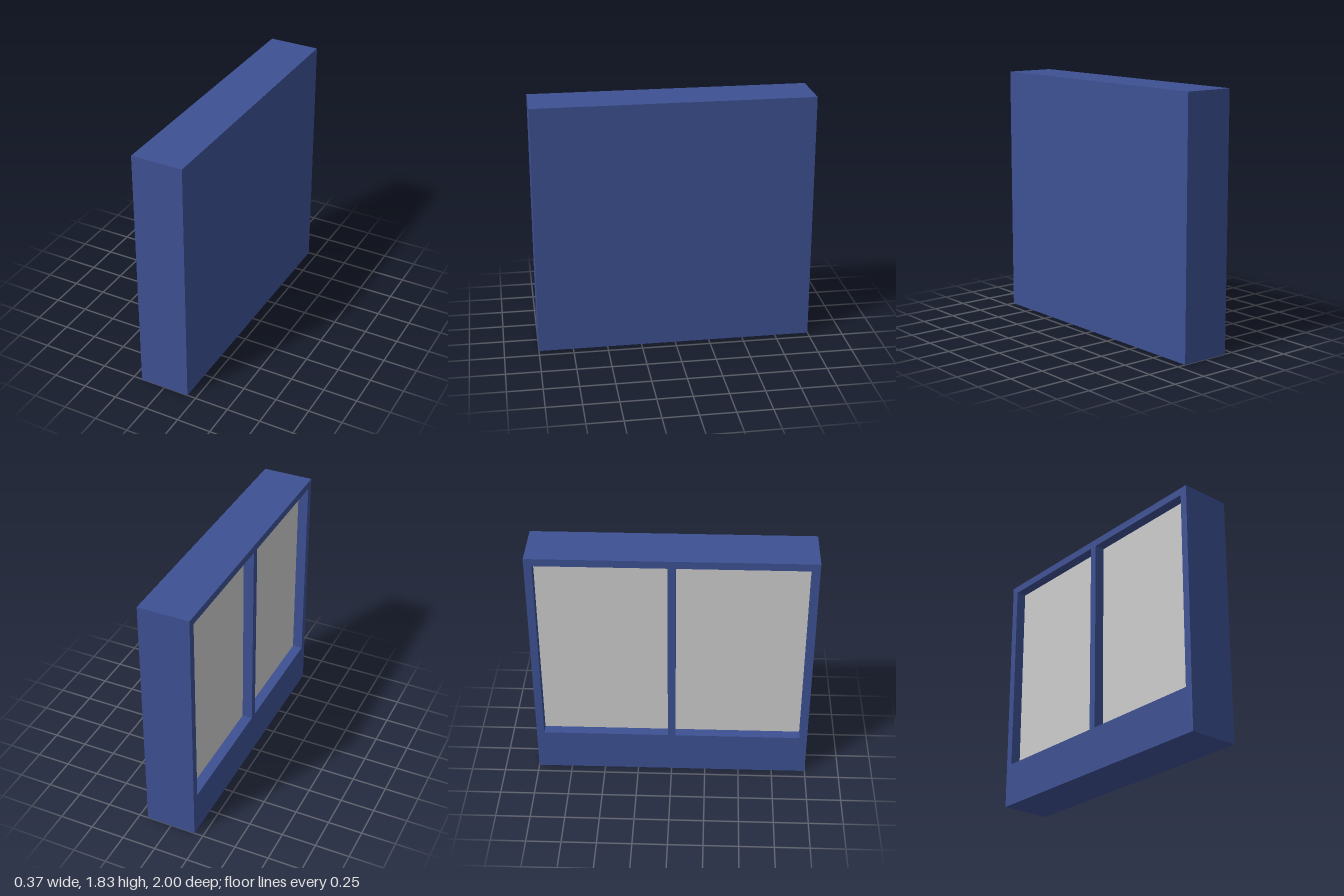
import * as THREE from 'three';

const W = 0.37, H = 1.825, L = 2;          // thickness (x), height (y), length (z)
const RECESS = 0.075, PANE = 0.01;         // depth of the openings, pane thickness
const RIM = 0.055, SILL = 0.32;            // border widths
const OPEN_W = (L - 3 * RIM) / 2, OPEN_H = H - SILL - RIM;

export function createModel() {
  const model = new THREE.Group();
  model.name = 'panelledSlab';
  const blue = new THREE.MeshStandardMaterial({ color: 0x3d5092 });
  const grey = new THREE.MeshStandardMaterial({ color: 0xcccccc });

  const add = (name, geometry, material, x, y, z) => {
    const mesh = new THREE.Mesh(geometry, material);
    mesh.name = name;
    mesh.position.set(x, y, z);
    model.add(mesh);
  };

  // Solid body behind the panes
  const frameDepth = RECESS + PANE;
  const seamX = -W / 2 + frameDepth;
  add('body', new THREE.BoxGeometry(W - frameDepth, H, L), blue, frameDepth / 2, H / 2, 0);

  // Frame outline with two openings, drawn along z and y
  const rectangle = (path, x0, y0, x1, y1) =>
    path.moveTo(x0, y0).lineTo(x1, y0).lineTo(x1, y1).lineTo(x0, y1).closePath();
  const outline = new THREE.Shape();
  rectangle(outline, -L / 2, 0, L / 2, H);

  for (const side of [-1, 1]) {
    const z = side * (RIM + OPEN_W) / 2;
    const hole = new THREE.Path();
    rectangle(hole, z - OPEN_W / 2, SILL, z + OPEN_W / 2, H - RIM);
    outline.holes.push(hole);

    // Pane set at the bottom of each recess
    add(side < 0 ? 'rearPane' : 'frontPane', new THREE.BoxGeometry(PANE, OPEN_H, OPEN_W),
      grey, seamX - PANE / 2, SILL + OPEN_H / 2, z);
  }

  // Frame on the -x face
  const frame = new THREE.ExtrudeGeometry(outline, { depth: frameDepth, bevelEnabled: false });
  frame.rotateY(-Math.PI / 2);
  add('frame', frame, blue, seamX, 0, 0);

  return model;
}
